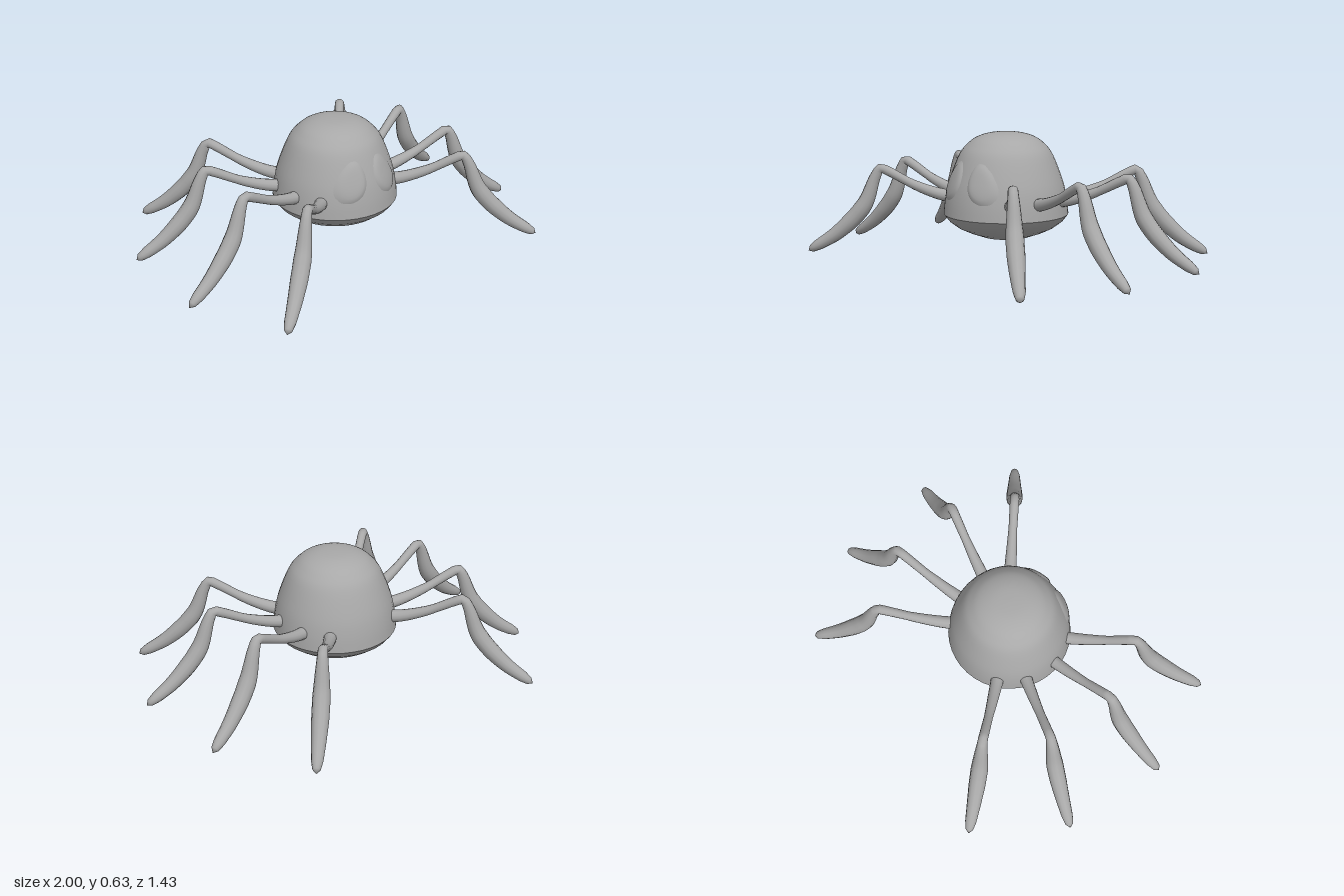
import * as THREE from 'three';
import { mergeVertices } from 'three/addons/utils/BufferGeometryUtils.js';

const BODY_Z = 0.06;

// piecewise-linear lookup in a list of [key, value]
function lookup(table, k) {
  for (let i = 1; i < table.length; i++) {
    const [k0, v0] = table[i - 1], [k1, v1] = table[i];
    if (k <= k1) return v0 + (v1 - v0) * THREE.MathUtils.clamp((k - k0) / (k1 - k0), 0, 1);
  }
  return table[table.length - 1][1];
}

function smooth(geometry) {
  geometry.deleteAttribute('uv');
  geometry.deleteAttribute('normal');
  const merged = mergeVertices(geometry, 1e-5);
  merged.computeVertexNormals();
  return merged;
}

// dome profile as radius, height
const dome = new THREE.SplineCurve([
  [0.312, 0.23], [0.303, 0.31], [0.282, 0.4], [0.233, 0.525], [0.19, 0.58],
  [0.145, 0.612], [0.08, 0.632], [0, 0.637],
].map(p => new THREE.Vector2(...p))).getPoints(28);
const domeRadius = dome.map(p => [p.y, p.x]);

// tapered leg: thin upper part, swollen lower part, rounded tip
const LEG_RADII = [[0, 0.034], [0.12, 0.029], [0.27, 0.022], [0.43, 0.024], [0.53, 0.034],
  [0.64, 0.043], [0.74, 0.042], [0.85, 0.035], [0.94, 0.028], [0.98, 0.019], [1, 0]];

function legGeometry(side, hip, knee, foot) {
  // each point: fraction along the upper or lower part, and height
  const at = (a, b, t, y) => new THREE.Vector3(
    side * (a[0] + (b[0] - a[0]) * t), y, a[1] + (b[1] - a[1]) * t);
  const curve = new THREE.CatmullRomCurve3([
    at(hip, knee, -0.12, 0.305), at(hip, knee, 0.12, 0.315), at(hip, knee, 0.5, 0.36),
    at(hip, knee, 0.9, 0.432), at(knee, foot, 0.0, 0.445), at(knee, foot, 0.07, 0.405),
    at(knee, foot, 0.23, 0.255), at(knee, foot, 0.58, 0.115), at(knee, foot, 1, 0.012),
  ], false, 'centripetal');
  const rings = 48, sides = 12;
  const geometry = new THREE.TubeGeometry(curve, rings, 1, sides);
  const pos = geometry.attributes.position, v = new THREE.Vector3();
  for (let i = 0; i <= rings; i++) {
    const centre = curve.getPointAt(i / rings), r = lookup(LEG_RADII, i / rings);
    for (let j = 0; j <= sides; j++) {
      const k = i * (sides + 1) + j;
      v.fromBufferAttribute(pos, k).sub(centre).multiplyScalar(r).add(centre);
      pos.setXYZ(k, v.x, v.y, v.z);
    }
  }
  return smooth(geometry);
}

// raised egg-shaped eye that follows the curve of the dome
function eyeGeometry(side) {
  const geometry = new THREE.RingGeometry(0, 1, 32, 6);
  const pos = geometry.attributes.position;
  for (let i = 0; i < pos.count; i++) {
    const u = pos.getX(i), w = pos.getY(i), t = Math.hypot(u, w);
    const x = side * 0.1 + u * (0.078 - 0.022 * w) - side * 0.03 * w;
    const y = 0.408 + w * 0.104;
    const r = lookup(domeRadius, y);
    const lift = 0.014 * (1 - t ** 6) - 0.004;
    pos.setXYZ(i, x, y, BODY_Z + Math.sqrt(r * r - x * x) + lift);
  }
  return smooth(geometry);
}

export function createModel() {
  const model = new THREE.Group();
  const grey = new THREE.MeshStandardMaterial({ color: 0xa8a8a8 });
  grey.name = 'grey';
  const add = (name, geometry) => {
    const mesh = new THREE.Mesh(geometry, grey);
    mesh.name = name;
    model.add(mesh);
    return mesh;
  };

  // body: dome, rim and shallow underside, kept apart for crisp edges
  const lathe = points => smooth(new THREE.LatheGeometry(points, 40));
  const low = [[0, 0.099], [0.06, 0.102], [0.12, 0.114], [0.19, 0.139], [0.24, 0.162], [0.285, 0.195], [0.312, 0.23]];
  add('bodyDome', lathe(dome)).position.z = BODY_Z;
  add('bodyUnderside', lathe(low.map(p => new THREE.Vector2(...p)))).position.z = BODY_Z;

  // hip, knee and foot as x, z
  const legs = [
    ['frontLeg', [0.22, 0.235], [0.485, 0.47], [0.785, 0.71]],
    ['middleFrontLeg', [0.27, 0.112], [0.635, 0.185], [1.0, 0.245]],
    ['middleBackLeg', [0.26, -0.045], [0.615, -0.17], [0.955, -0.295]],
    ['backLeg', [0.19, -0.165], [0.425, -0.435], [0.665, -0.715]],
  ];
  for (const [label, side] of [['left', 1], ['right', -1]]) {
    add(label + 'Eye', eyeGeometry(side));
    for (const [name, hip, knee, foot] of legs) {
      add(label + name[0].toUpperCase() + name.slice(1), legGeometry(side, hip, knee, foot));
    }
  }
  return model;
}
